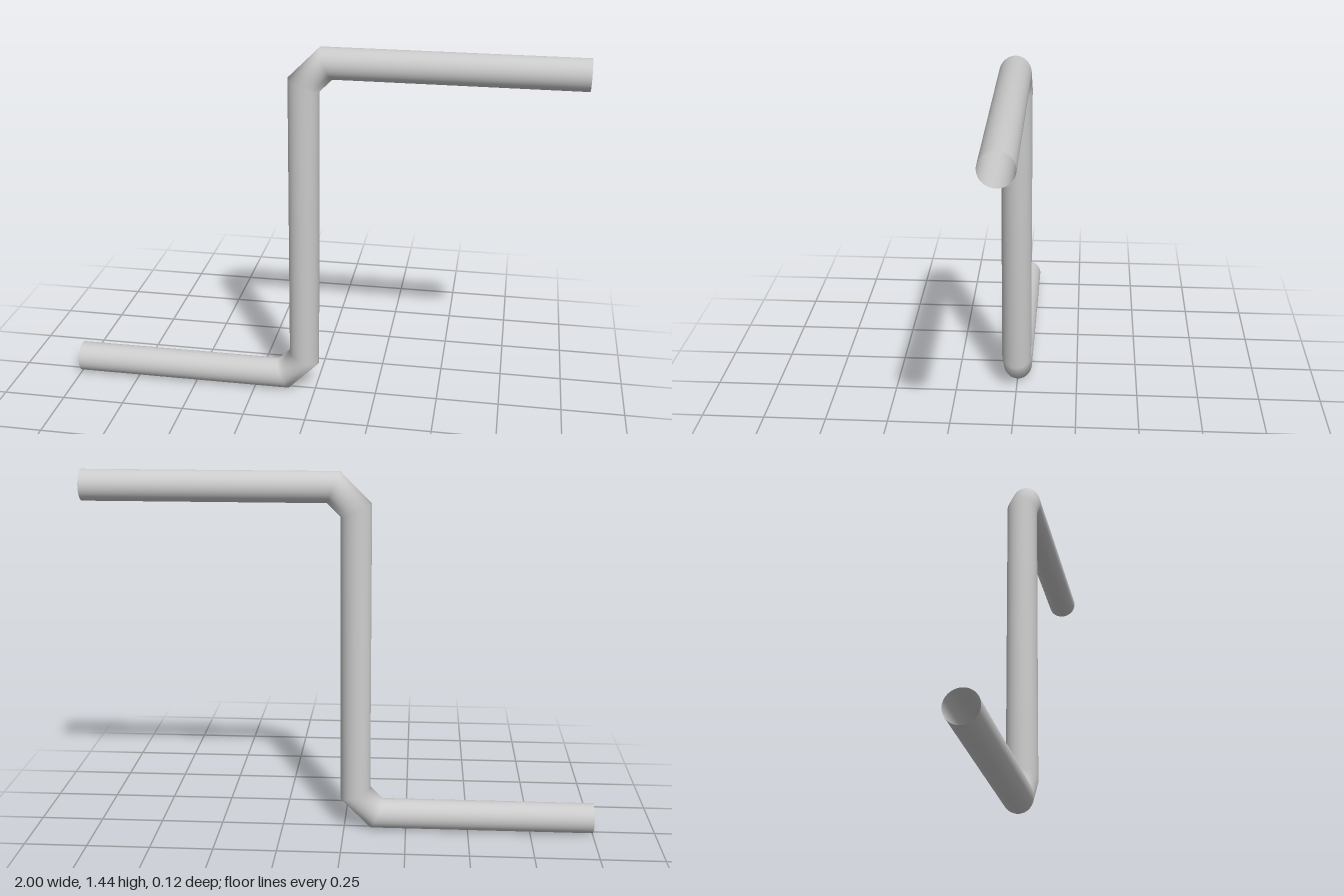
import * as THREE from 'three';

const RADIUS = 0.06;
const SIDES = 48;

// Open pipe swept along a path in the XY plane, with true mitred joints
function mitredPipe(path, radius, sides) {
  const positions = [];
  const index = [];
  path.forEach((p, i) => {
    const a = path[Math.max(i - 1, 0)];
    const b = path[Math.min(i + 1, path.length - 1)];
    const before = (i > 0 ? p.clone().sub(a) : b.clone().sub(p)).normalize();
    const after = (i < path.length - 1 ? b.clone().sub(p) : before.clone()).normalize();
    const along = before.clone().add(after).normalize();
    const stretch = radius / along.dot(before); // mitre rings widen in the bend plane
    for (let j = 0; j < sides; j++) {
      const t = (j / sides) * Math.PI * 2;
      const u = Math.cos(t) * stretch;
      positions.push(p.x - along.y * u, p.y + along.x * u, Math.sin(t) * radius);
    }
  });
  for (let i = 0; i < path.length - 1; i++) {
    for (let j = 0; j < sides; j++) {
      const k = (j + 1) % sides;
      const a = i * sides + j, b = i * sides + k;
      const c = a + sides, d = b + sides;
      index.push(a, b, c, b, d, c);
    }
  }
  const geometry = new THREE.BufferGeometry();
  geometry.setAttribute('position', new THREE.Float32BufferAttribute(positions, 3));
  geometry.setIndex(index);
  geometry.computeVertexNormals();
  return geometry;
}

export function createModel() {
  const group = new THREE.Group();
  group.name = 'bentPipe';

  // Lower run, chamfered bend, riser, chamfered bend, upper run
  const path = [
    [-1, 0.06], [-0.131, 0.06], [-0.045, 0.147],
    [-0.045, 1.298], [0.041, 1.384], [1, 1.384],
  ].map(([x, y]) => new THREE.Vector2(x, y));

  const material = new THREE.MeshStandardMaterial({ color: 0xcccccc, side: THREE.DoubleSide });
  const pipe = new THREE.Mesh(mitredPipe(path, RADIUS, SIDES), material);
  pipe.name = 'pipe';
  group.add(pipe);
  return group;
}
